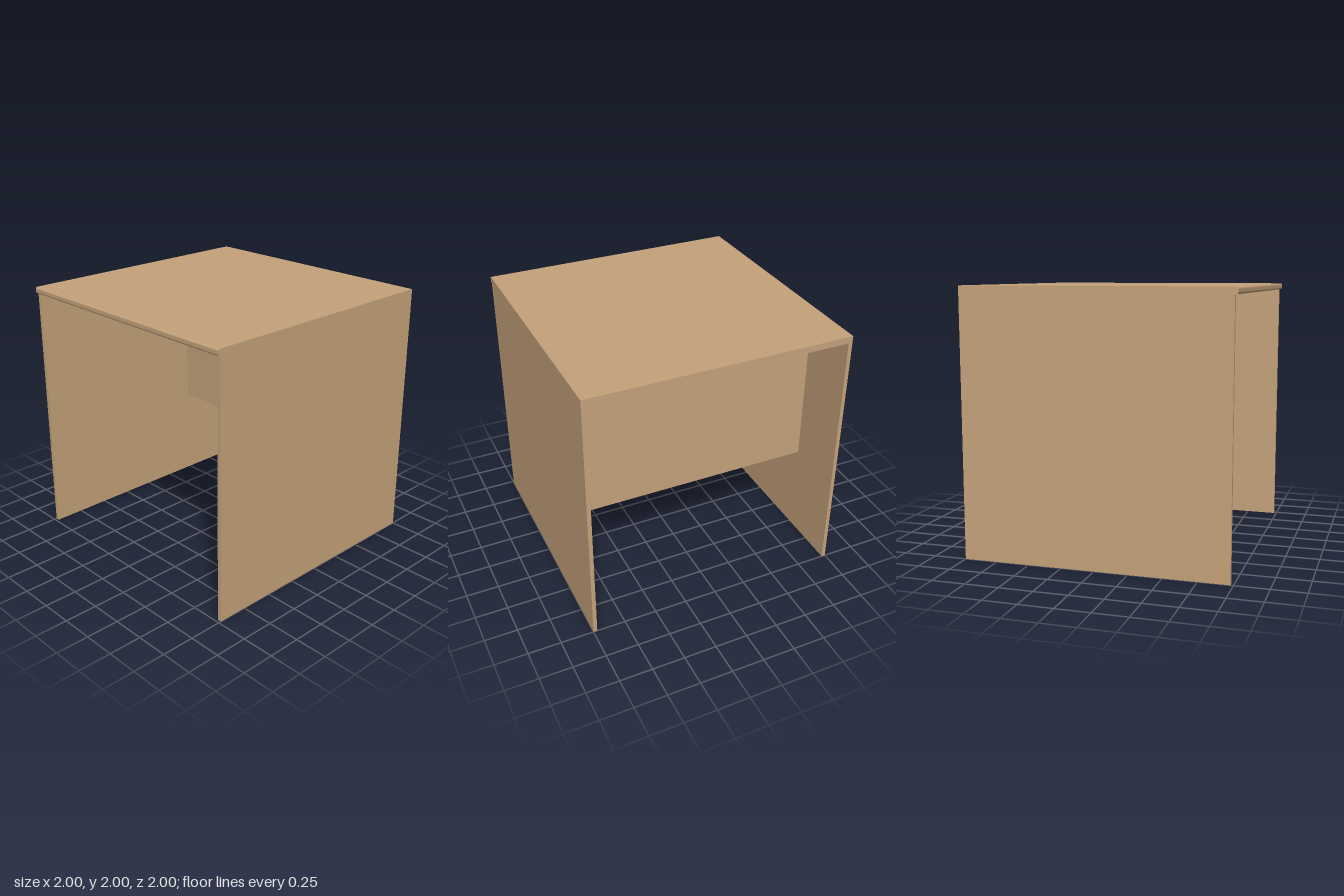
import * as THREE from 'three';

const wood = new THREE.MeshStandardMaterial({ name: 'lightWood', color: 0xc4a27a });

// Board given by its minimum and maximum corners
function board(name, [x0, y0, z0], [x1, y1, z1]) {
  const mesh = new THREE.Mesh(new THREE.BoxGeometry(x1 - x0, y1 - y0, z1 - z0), wood);
  mesh.name = name;
  mesh.position.set((x0 + x1) / 2, (y0 + y1) / 2, (z0 + z1) / 2);
  return mesh;
}

// Desk top: side profile (z, y) with a rounded front edge, extruded across the width
function deskTop() {
  const back = -1, front = 1, bottom = 1.95, top = 2, r = 0.015;
  const profile = new THREE.Shape();
  profile.moveTo(back, bottom);
  profile.lineTo(front - r, bottom);
  profile.absarc(front - r, bottom + r, r, -Math.PI / 2, 0);
  profile.absarc(front - r, top - r, r, 0, Math.PI / 2);
  profile.lineTo(back, top);
  profile.closePath();
  const geometry = new THREE.ExtrudeGeometry(profile, { depth: 2, bevelEnabled: false, curveSegments: 6 });
  geometry.rotateY(-Math.PI / 2).translate(1, 0, 0);
  const mesh = new THREE.Mesh(geometry, wood);
  mesh.name = 'deskTop';
  return mesh;
}

export function createModel() {
  const desk = new THREE.Group();
  desk.name = 'desk';
  desk.add(
    deskTop(),
    board('leftSidePanel', [0.97, 0, -1], [1, 1.95, 0.98]),
    board('rightSidePanel', [-1, 0, -1], [-0.97, 1.95, 0.98]),
    // Recessed privacy panel between the sides
    board('modestyPanel', [-0.97, 0.73, -0.53], [0.97, 1.95, -0.485]),
  );
  return desk;
}
